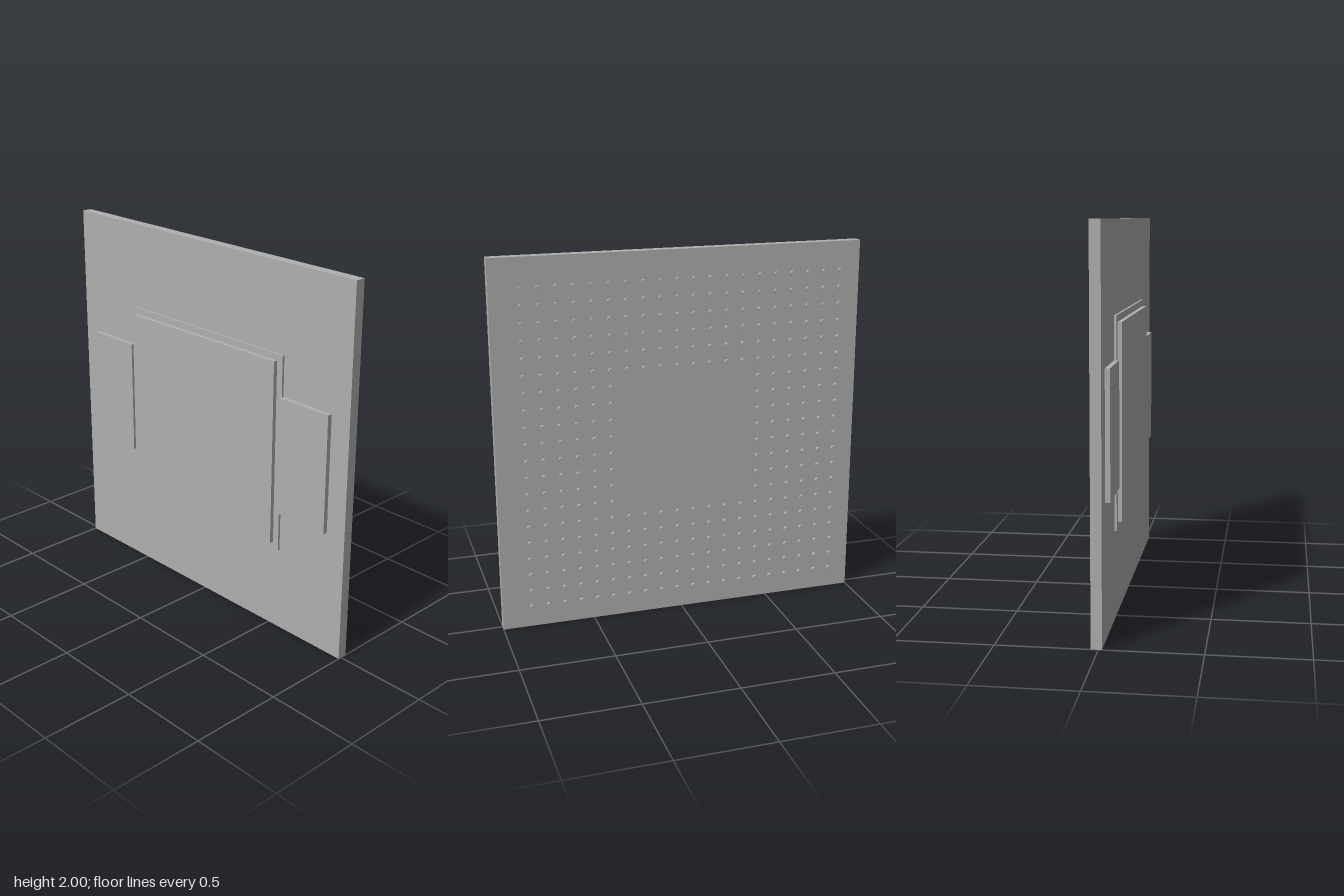
import * as THREE from 'three';

export function createModel() {
  const model = new THREE.Group();
  model.name = 'processorChip';
  const grey = new THREE.MeshStandardMaterial({ color: 0xb0b0b0 });
  grey.name = 'grey';

  // Box given by its extents on each axis
  function slab(name, x0, x1, y0, y1, z0, z1) {
    const mesh = new THREE.Mesh(new THREE.BoxGeometry(x1 - x0, y1 - y0, z1 - z0), grey);
    mesh.position.set((x0 + x1) / 2, (y0 + y1) / 2, (z0 + z1) / 2);
    mesh.name = name;
    model.add(mesh);
  }

  const front = 0.018, back = -0.036;
  slab('substrate', -1, 1, 0, 2, back, front);

  // Stepped heat spreader: thin flange with a raised lid
  slab('spreaderFlange', -0.572, 0.568, 0.463, 1.537, front, 0.03);
  slab('spreaderLid', -0.535, 0.531, 0.5, 1.502, 0.03, 0.052);

  // Side plates
  slab('rightPlate', -0.887, -0.572, 0.682, 1.318, front, 0.043);
  slab('leftPlate', 0.568, 0.885, 0.682, 1.318, front, 0.043);

  // Grid of contact pins on the back, open in the middle
  const pins = new THREE.Group();
  pins.name = 'contactPins';
  const height = 0.016, pitch = 0.091, count = 20;
  const pinGeometry = new THREE.CylinderGeometry(0.012, 0.012, height, 16).rotateX(Math.PI / 2);
  const inHole = (i) => i > 5 && i < 14;
  for (let col = 0; col < count; col++) {
    for (let row = 0; row < count; row++) {
      if (inHole(col) && inHole(row)) continue;
      const pin = new THREE.Mesh(pinGeometry, grey);
      pin.name = 'pin';
      pin.position.set(-0.888 + col * pitch, 0.115 + row * pitch, back - height / 2);
      pins.add(pin);
    }
  }
  model.add(pins);
  return model;
}
